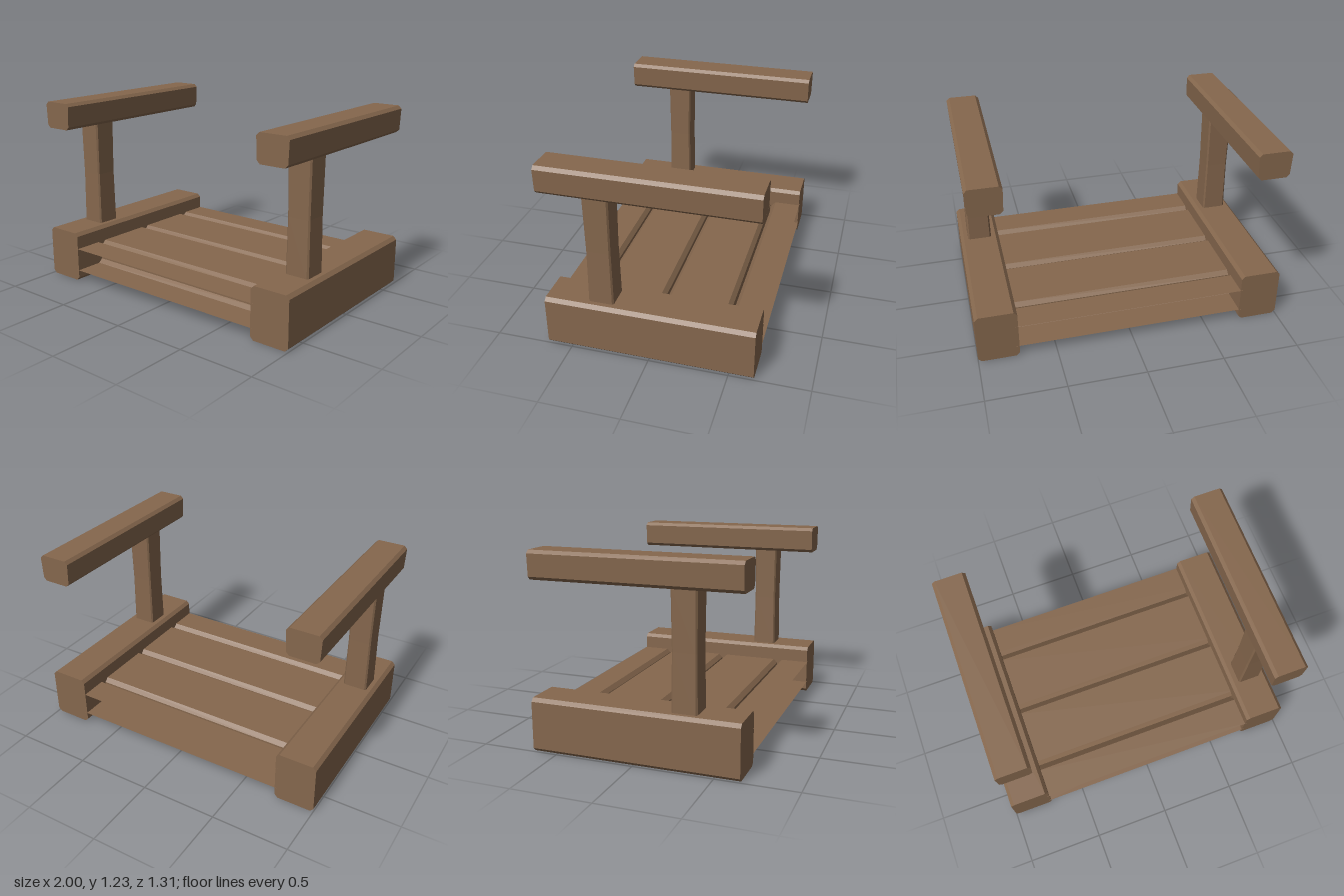
import * as THREE from 'three';

const LENGTH = 1.31;

// Octagonal outline: a rectangle with cut corners, optionally narrower at the bottom
function bevelled(halfTop, halfBottom, y0, y1, c) {
  return new THREE.Shape([
    [-halfBottom + c, y0], [halfBottom - c, y0], [halfBottom, y0 + c], [halfTop, y1 - c],
    [halfTop - c, y1], [-halfTop + c, y1], [-halfTop, y1 - c], [-halfBottom, y0 + c],
  ].map(([x, y]) => new THREE.Vector2(x, y)));
}

// Beam running front to back
function beam(shape) {
  const g = new THREE.ExtrudeGeometry(shape, { depth: LENGTH, bevelEnabled: false });
  g.translate(0, 0, -LENGTH / 2);
  return g;
}

// Upright post, slightly waisted at mid height
function post(y0, y1) {
  const h = y1 - y0;
  const g = new THREE.ExtrudeGeometry(bevelled(0.08, 0.08, -0.08, 0.08, 0.01),
    { depth: h, steps: 2, bevelEnabled: false });
  g.rotateX(-Math.PI / 2);
  const p = g.attributes.position;
  for (let i = 0; i < p.count; i++) {
    const k = Math.abs(p.getY(i) - h / 2) < 0.01 ? 0.95 : 1;
    p.setXYZ(i, p.getX(i) * k, p.getY(i), p.getZ(i) * k);
  }
  g.computeVertexNormals();
  return g.translate(0, y0, 0);
}

// Slat skin: a (z, y) path swept across x
function slatSkin(path, half) {
  const v = [];
  for (let i = 0; i < path.length - 1; i++) {
    const [za, ya] = path[i], [zb, yb] = path[i + 1];
    v.push(-half, ya, za, -half, yb, zb, half, yb, zb);
    v.push(-half, ya, za, half, yb, zb, half, ya, za);
  }
  const g = new THREE.BufferGeometry();
  g.setAttribute('position', new THREE.Float32BufferAttribute(v, 3));
  g.computeVertexNormals();
  return g;
}

export function createModel() {
  const group = new THREE.Group();
  const wood = new THREE.MeshStandardMaterial({ color: 0x85674d, side: THREE.DoubleSide });
  wood.name = 'brown wood';
  const add = (name, geometry, parent = group) => {
    const m = new THREE.Mesh(geometry, wood);
    m.name = name;
    parent.add(m);
    return m;
  };

  // Each side: base rail, post and handrail
  for (const s of [1, -1]) {
    const side = new THREE.Group();
    side.name = s > 0 ? 'leftSide' : 'rightSide';
    add('baseRail', beam(bevelled(0.132, 0.132, 0, 0.34, 0.022)), side).position.x = s * 0.868;
    add('post', post(0.33, 1.06), side).position.set(s * 0.87, 0, 0.305);
    add('handrail', beam(bevelled(0.108, 0.102, 1.053, 1.23, 0.02)), side).position.x = s * 0.87;
    group.add(side);
  }

  // Deck slats: two whole ones, and a cut, open-edged one at each end
  const y0 = 0.075, y1 = 0.23, c = 0.026, end = 0.657;
  const frontEdge = (z) => [[z, y1 - c], [z, y0 + c]];
  const wholeSlat = (a, b) => [
    [a, y0 + c], [a, y1 - c], [a + c, y1], [b - c, y1], ...frontEdge(b),
    [b - c, y0], [a + c, y0], [a, y0 + c],
  ];
  const backSlat = (b) => [[-end, y1], [b - c, y1], ...frontEdge(b), [b - c, y0], [-end, y0]];
  const frontSlat = (a) => [
    [end, y0], [a + c, y0], [a, y0 + c], [a, y1 - c], [a + c, y1], [end, y1],
  ];
  const slats = [backSlat(-0.45), wholeSlat(-0.435, -0.013), wholeSlat(0, 0.425), frontSlat(0.438)];
  slats.forEach((path, i) => add('deckSlat' + (i + 1), slatSkin(path, 0.755)));

  return group;
}
